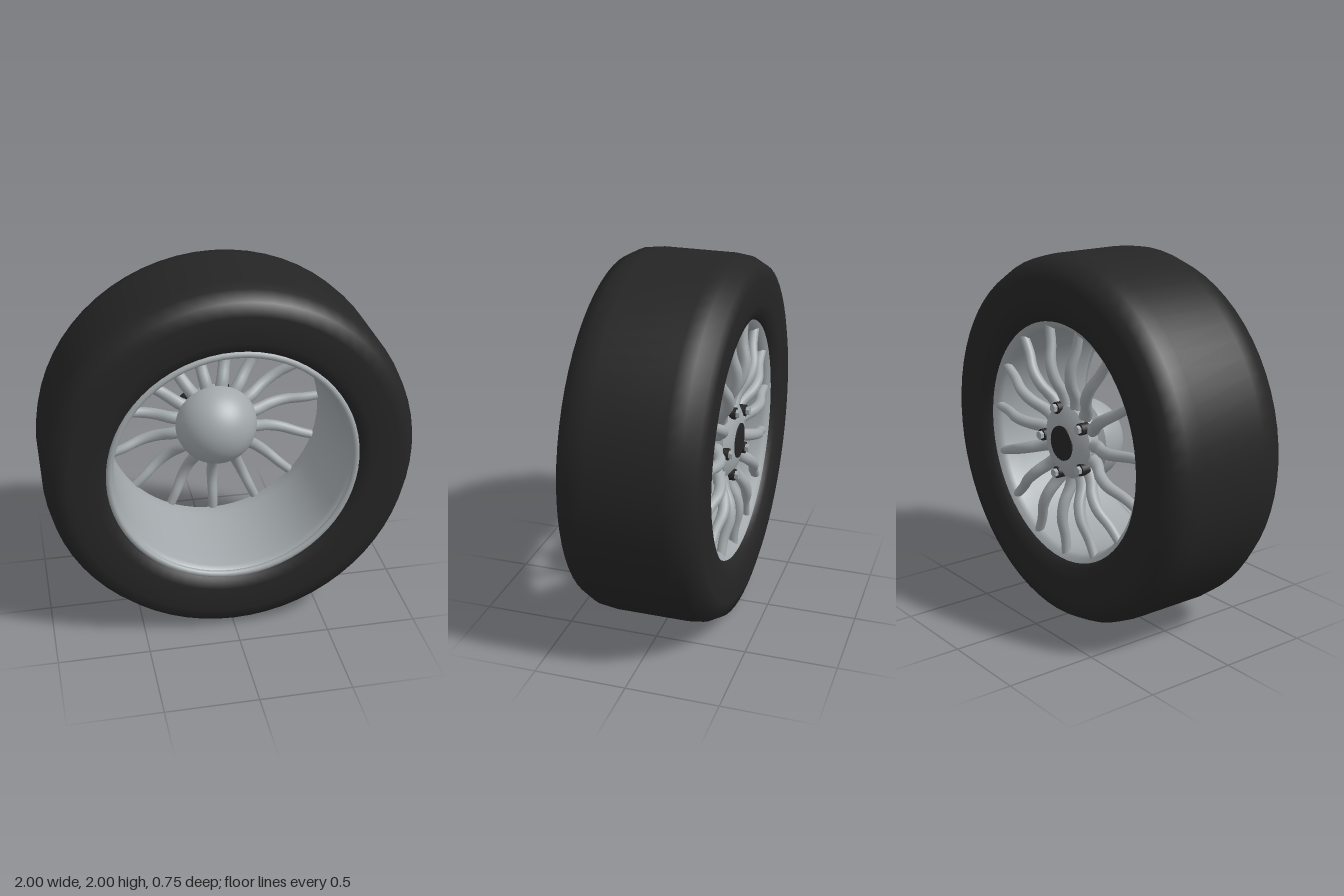
import * as THREE from 'three';
import { toCreasedNormals } from 'three/addons/utils/BufferGeometryUtils.js';

const rubber = new THREE.MeshStandardMaterial({ color: 0x252525 });
rubber.name = 'black rubber';
const alloy = new THREE.MeshStandardMaterial({ color: 0xa2a8ab });
alloy.name = 'grey alloy';

const SPOKES = 15;
const BOLTS = 5;

function add(parent, name, geometry, material) {
  const mesh = new THREE.Mesh(geometry, material);
  mesh.name = name;
  parent.add(mesh);
  return mesh;
}

// Revolve [radius, z] points around the wheel's z axis.
function revolve(points, segments) {
  const profile = points.map(([r, z]) => new THREE.Vector2(r, z));
  return new THREE.LatheGeometry(profile, segments).rotateX(Math.PI / 2);
}

// A tapered round spoke pointing along +x, swept in z by a smooth curve.
function spokeGeometry() {
  const inner = 0.14, outer = 0.635;
  const path = new THREE.CatmullRomCurve3([
    [0.14, -0.24], [0.24, -0.25], [0.36, -0.3], [0.48, -0.315], [0.56, -0.295], [0.635, -0.29],
  ].map(([x, z]) => new THREE.Vector3(x, 0, z)));
  const g = new THREE.CylinderGeometry(0.025, 0.038, outer - inner, 14, 16);
  g.rotateZ(-Math.PI / 2).translate((inner + outer) / 2, 0, 0);
  const p = g.attributes.position;
  for (let i = 0; i < p.count; i++) {
    const t = (p.getX(i) - inner) / (outer - inner);
    p.setZ(i, p.getZ(i) + path.getPoint(THREE.MathUtils.clamp(t, 0, 1)).z);
  }
  g.computeVertexNormals();
  return toCreasedNormals(g, 1.0);
}

export function createModel() {
  const wheel = new THREE.Group();
  wheel.name = 'wheel';
  wheel.position.y = 1;

  // Tyre: rounded shoulders, nearly flat tread and sidewalls
  add(wheel, 'tyre', revolve([
    [0.655, -0.325], [0.68, -0.355], [0.74, -0.372], [0.88, -0.375], [0.95, -0.355],
    [0.99, -0.28], [1, -0.2], [1, 0.2], [0.99, 0.28], [0.95, 0.355],
    [0.88, 0.375], [0.74, 0.372], [0.69, 0.355], [0.67, 0.325],
  ], 64), rubber);

  // Rim: rolled front lip, barrel narrowing to the back, flared back edge
  add(wheel, 'rimBarrel', revolve([
    [0.67, 0.33], [0.645, 0.32], [0.635, 0.29], [0.63, 0.2], [0.612, -0.2],
    [0.612, -0.285], [0.63, -0.31], [0.66, -0.327],
  ], 64), alloy);
  add(wheel, 'rimLip', new THREE.TorusGeometry(0.662, 0.018, 10, 64).translate(0, 0, 0.335), alloy);

  // Spokes, one of them pointing straight down
  const spokes = new THREE.Group();
  spokes.name = 'spokes';
  wheel.add(spokes);
  const spoke = spokeGeometry();
  for (let i = 0; i < SPOKES; i++) {
    add(spokes, 'spoke', spoke, alloy).rotation.z = -Math.PI / 2 + (i * 2 * Math.PI) / SPOKES;
  }

  // Hub: front dome and back plate
  const dome = new THREE.SphereGeometry(0.23, 40, 16, 0, Math.PI * 2, 0, Math.PI / 2);
  add(wheel, 'hubDome', dome.rotateX(Math.PI / 2).translate(0, 0, -0.19), alloy);
  add(wheel, 'hubPlate', toCreasedNormals(revolve([
    [0, -0.312], [0.1, -0.312], [0.16, -0.3], [0.2, -0.275], [0.2, -0.215], [0.23, -0.19],
  ], 40), 0.7), alloy);
  add(wheel, 'centreCap', new THREE.CylinderGeometry(0.095, 0.095, 0.008, 32)
    .rotateX(Math.PI / 2).translate(0, 0, -0.314), rubber);

  // Wheel bolts on the back plate
  const collar = new THREE.CylinderGeometry(0.032, 0.032, 0.05, 16).rotateX(Math.PI / 2);
  const head = new THREE.CylinderGeometry(0.024, 0.024, 0.03, 6).rotateX(Math.PI / 2);
  for (let i = 0; i < BOLTS; i++) {
    const bolt = new THREE.Group();
    bolt.name = 'bolt';
    const a = (i * 2 * Math.PI) / BOLTS;
    bolt.position.set(0.19 * Math.cos(a), 0.19 * Math.sin(a), 0);
    add(bolt, 'boltCollar', collar, rubber).position.z = -0.285;
    add(bolt, 'boltHead', toCreasedNormals(head, 0.5), alloy).position.z = -0.315;
    wheel.add(bolt);
  }

  const model = new THREE.Group();
  model.name = 'wheelModel';
  model.add(wheel);
  return model;
}
